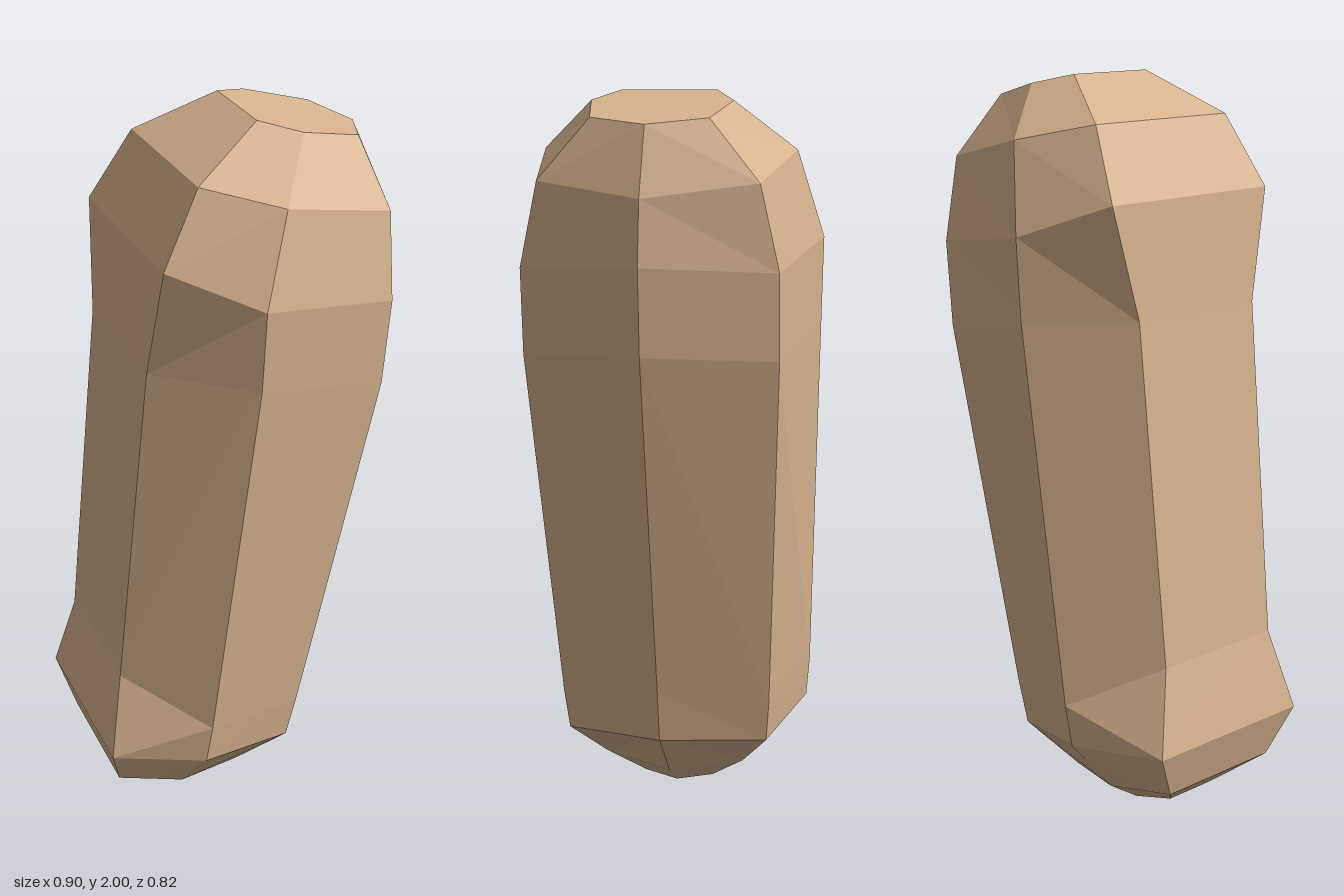
import * as THREE from 'three';

// Cross-sections from top to bottom; each holds [x, y, z] for the ridge,
// side, shoulder and back columns, mirrored across z = 0 into a heptagon.
const RINGS = [
  [[0.36, 1.92, 0], [0.3, 1.935, 0.155], [0.13, 1.975, 0.19], [0.03, 2, 0.13]],
  [[0.43, 1.74, 0], [0.33, 1.775, 0.29], [0.02, 1.845, 0.345], [-0.17, 1.89, 0.235]],
  [[0.45, 1.57, 0], [0.32, 1.55, 0.34], [-0.06, 1.61, 0.41], [-0.28, 1.7, 0.28]],
  [[0.43, 1.34, 0], [0.3, 1.32, 0.34], [-0.07, 1.39, 0.405], [-0.305, 1.4, 0.21]],
  [[0.21, 0.37, 0], [0.095, 0.32, 0.295], [-0.195, 0.36, 0.375], [-0.4, 0.48, 0.2]],
  [[0.18, 0.22, 0], [0.07, 0.2, 0.285], [-0.21, 0.245, 0.365], [-0.45, 0.25, 0.26]],
  [[0.03, 0.07, 0], [-0.05, 0.085, 0.2], [-0.24, 0.1, 0.25], [-0.41, 0.115, 0.19]],
  [[-0.08, 0, 0], [-0.12, 0.006, 0.1], [-0.21, 0.016, 0.125], [-0.3, 0.025, 0.08]],
];

function loftRings(rings) {
  const mirror = ([x, y, z]) => [x, y, -z];
  const loops = rings.map(([a, b, c, d]) => [a, b, c, d, mirror(d), mirror(c), mirror(b)]);
  const n = 7;
  const index = [];
  // Side facets
  for (let i = 0; i < loops.length - 1; i++) {
    for (let j = 0; j < n; j++) {
      const k = (j + 1) % n;
      const a = i * n + j, b = i * n + k, c = a + n, d = b + n;
      // Mirror the diagonals so both halves match
      if (j < 4) index.push(a, b, d, a, d, c);
      else index.push(a, b, c, b, d, c);
    }
  }
  // Flat end caps
  const last = (loops.length - 1) * n;
  for (let j = 1; j < n - 1; j++) {
    index.push(0, j + 1, j);
    index.push(last, last + j, last + j + 1);
  }
  const indexed = new THREE.BufferGeometry();
  indexed.setAttribute('position', new THREE.Float32BufferAttribute(loops.flat(2), 3));
  indexed.setIndex(index);
  const geometry = indexed.toNonIndexed();
  geometry.computeVertexNormals();
  return geometry;
}

export function createModel() {
  const group = new THREE.Group();
  group.name = 'facetedCapsule';
  const body = new THREE.Mesh(
    loftRings(RINGS),
    new THREE.MeshStandardMaterial({ color: 0xd8b48f, flatShading: true })
  );
  body.name = 'body';
  group.add(body);
  return group;
}
